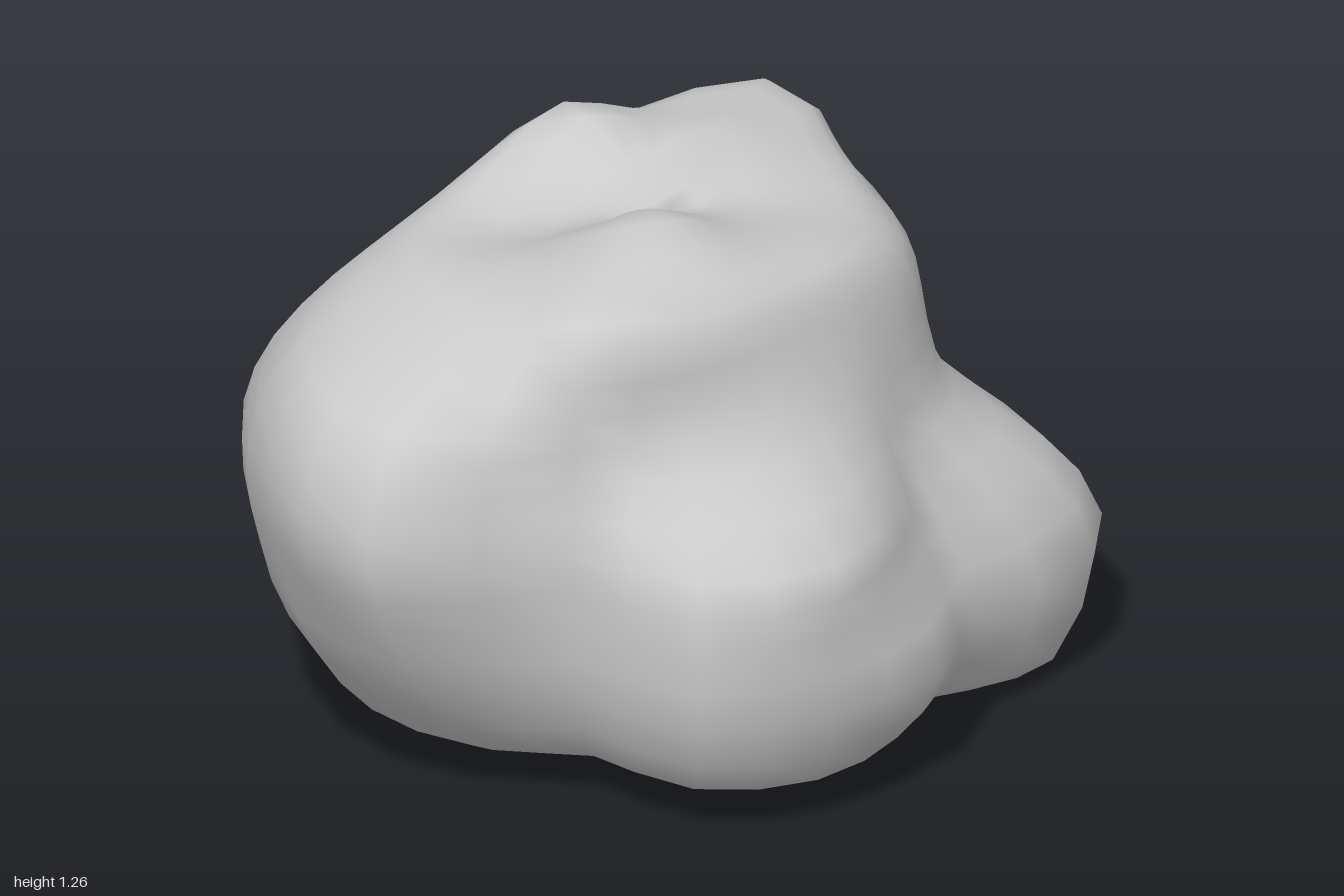
import * as THREE from 'three';
import { mergeVertices } from 'three/addons/utils/BufferGeometryUtils.js';

// Horizontal slices: height, then 16 radii counted from +x towards the front (+z)
const slices = [
  [0.11, [.87, .84, .62, .65, .71, .69, .55, .64, .71, .67, .64, .63, .62, .63, .62, .65]],
  [0.30, [.98, .93, .71, .77, .79, .80, .65, .80, .85, .82, .79, .78, .76, .70, .68, .75]],
  [0.50, [.83, .82, .63, .69, .80, .82, .68, .92, .92, .89, .88, .85, .80, .74, .70, .71]],
  [0.66, [.66, .63, .55, .64, .79, .79, .69, .99, .96, .91, .90, .82, .75, .72, .72, .67]],
  [0.82, [.61, .57, .51, .53, .58, .62, .66, .98, .95, .87, .81, .71, .65, .66, .77, .66]],
  [0.97, [.59, .54, .48, .46, .49, .55, .65, .90, .86, .76, .67, .61, .58, .64, .83, .65]],
  [1.09, [.51, .48, .44, .42, .45, .54, .64, .66, .62, .59, .54, .54, .56, .60, .79, .59]],
];

// Knobs and dents: x, z, height change, spread
const crownKnobs = [
  [-.13, .18, .11, .19], [0, -.4, .09, .14], [.23, -.17, .06, .13], [-.35, .42, .06, .15],
  [.0, -.1, -.04, .16], [.45, .1, -.04, .2], [-.27, -.18, -.06, .18],
];
const baseKnobs = [[.7, .3, -.06, .16], [.38, -.13, -.035, .16], [-.45, .1, -.02, .15]];

const relief = (knobs, x, z) => knobs.reduce((sum, [kx, kz, h, s]) =>
  sum + h * Math.exp(-((x - kx) ** 2 + (z - kz) ** 2) / (s * s)), 0);

const cubic = (a, b, c, d, t) =>
  b + 0.5 * t * (c - a + t * (2 * a - 5 * b + 4 * c - d + t * (3 * (b - c) + d - a)));

// Smoothly samples a list at a fractional index, either wrapped or clamped
function sample(list, u, wrap) {
  const n = list.length, i = Math.floor(u);
  const at = k => list[wrap ? (k + n) % n : Math.min(Math.max(k, 0), n - 1)];
  return cubic(at(i - 1), at(i), at(i + 1), at(i + 2), u - i);
}

function boulderGeometry() {
  const scaled = (row, s) => row.map(r => r * s);
  const bottom = slices[0][1], top = slices[slices.length - 1][1];
  // Close the underside and the crown with shrinking copies of the end slices
  const rows = [
    [0.08, scaled(bottom, 0)], [0.078, scaled(bottom, .4)], [0.072, scaled(bottom, .78)],
    ...slices,
    [1.145, scaled(top, .82)], [1.155, scaled(top, .42)], [1.155, scaled(top, 0)],
  ];
  const heights = rows.map(r => r[0]);
  const around = 32, steps = (rows.length - 1) * 2;
  const positions = [], index = [];
  for (let i = 0; i <= steps; i++) {
    const v = i / 2;
    const level = sample(heights, v, false);
    const crown = THREE.MathUtils.smoothstep(level, 1.0, 1.14);
    const base = 1 - THREE.MathUtils.smoothstep(level, 0.1, 0.3);
    for (let j = 0; j < around; j++) {
      const angle = j / around * Math.PI * 2;
      const column = rows.map(r => sample(r[1], j / 2, true));
      const r = Math.max(0, sample(column, v, false));
      const x = r * Math.cos(angle), z = r * Math.sin(angle);
      // The base dips towards the foot on the left
      const dip = 0.04 * x * Math.max(0, 1 - level / 0.4);
      const y = level - dip + crown * relief(crownKnobs, x, z) + base * relief(baseKnobs, x, z);
      positions.push(x, Math.max(0, y), z);
    }
  }
  for (let i = 0; i < steps; i++) {
    for (let j = 0; j < around; j++) {
      const a = i * around + j, b = i * around + (j + 1) % around;
      const c = a + around, d = b + around;
      if (i < steps - 1) index.push(a, c, d);
      if (i > 0) index.push(a, d, b);
    }
  }
  const geometry = new THREE.BufferGeometry();
  geometry.setAttribute('position', new THREE.Float32BufferAttribute(positions, 3));
  geometry.setIndex(index);
  const merged = mergeVertices(geometry);
  merged.computeVertexNormals();
  return merged;
}

export function createModel() {
  const group = new THREE.Group();
  group.name = 'rock';
  const boulder = new THREE.Mesh(boulderGeometry(), new THREE.MeshStandardMaterial({ color: 0xcccccc }));
  boulder.name = 'boulder';
  group.add(boulder);
  return group;
}
